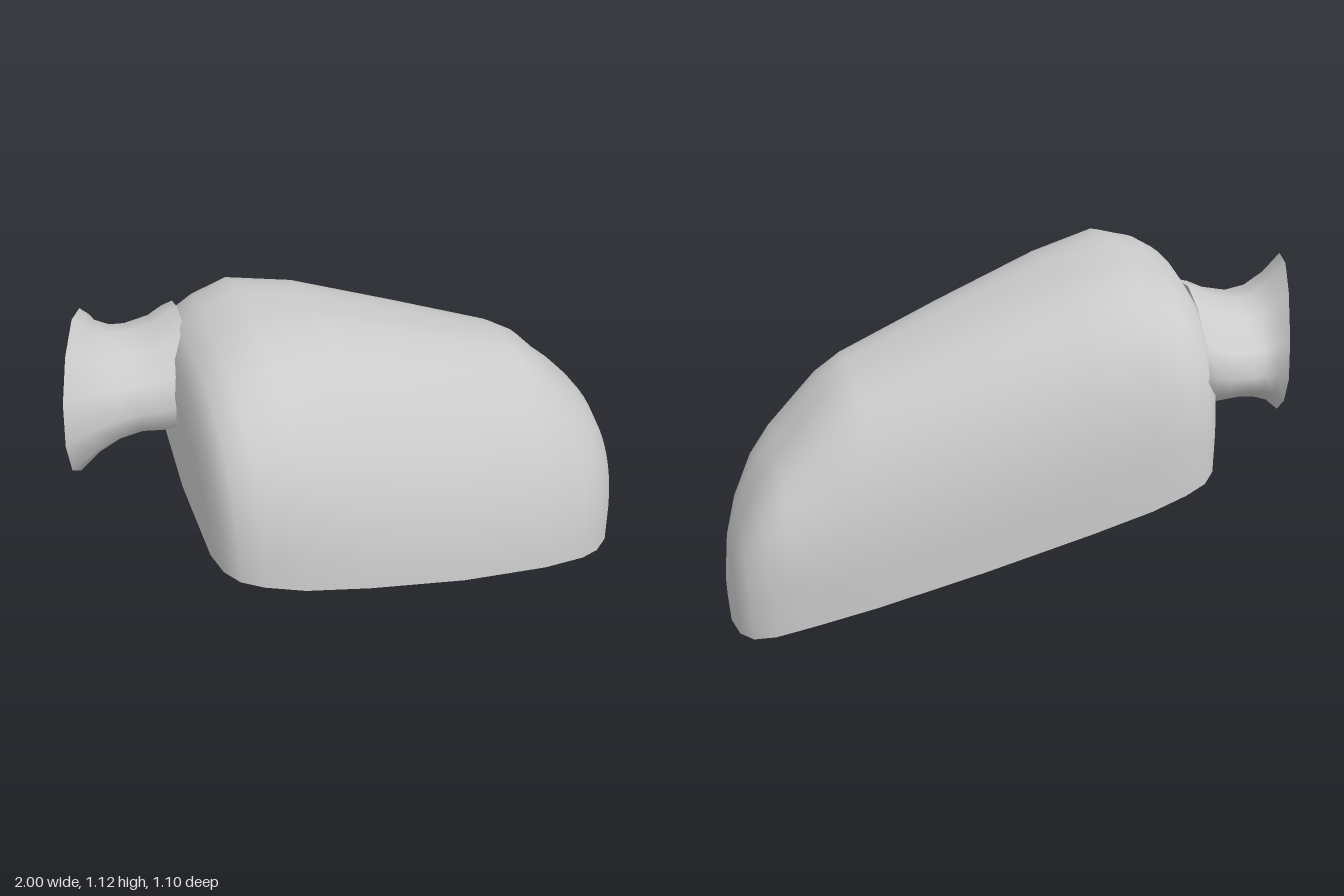
import * as THREE from 'three';

const material = new THREE.MeshStandardMaterial({ color: 0xcccccc, side: THREE.DoubleSide });

// Height of the slanted plane that holds the rim of the opening
const rimY = (x) => 0.31 - 0.307 * x;

// Skin a list of equally long cross-sections into a smooth surface
function loft(sections, closed = false) {
  const n = sections[0].length;
  const index = [];
  for (let i = 0; i < sections.length - 1; i++) {
    for (let j = 0; j < (closed ? n : n - 1); j++) {
      const a = i * n + j, b = a + n;
      const c = i * n + (j + 1) % n, d = c + n;
      index.push(a, b, c, b, d, c);
    }
  }
  const geometry = new THREE.BufferGeometry().setFromPoints(sections.flat());
  geometry.setIndex(index);
  geometry.computeVertexNormals();
  return geometry;
}

function addMesh(group, geometry, name) {
  const mesh = new THREE.Mesh(geometry, material);
  mesh.name = name;
  group.add(mesh);
}

// Arched section of the housing, from the front rim over the top to the back rim
function archSection([x, front, back, top, frontSquareness, backSquareness]) {
  const points = [];
  const segments = 24;
  const mid = (front + back) / 2, half = (front - back) / 2;
  for (let j = 0; j <= segments; j++) {
    const a = (j / segments) * Math.PI;
    const c = Math.cos(a), s = Math.max(0, Math.sin(a));
    const power = 2 / (c > 0 ? frontSquareness : backSquareness);
    const z = mid + half * Math.sign(c) * Math.abs(c) ** power;
    // the inner end wall leans back behind the neck
    const lean = THREE.MathUtils.clamp((-0.2 - x) / 0.3, 0, 1);
    const px = x + 0.065 * Math.max(0, -z) * lean;
    const base = rimY(px);
    points.push(new THREE.Vector3(px, base + (top - base) * s ** power, z));
  }
  return points;
}

// Oval ring of the neck, slanted in plan and a little pointed at the back
function neckRing([x, slant, cz, hz, cy, hy]) {
  const points = [];
  const segments = 12;
  for (let j = 0; j < segments; j++) {
    const a = (j / segments) * Math.PI * 2;
    const c = Math.cos(a), s = Math.sin(a);
    const power = c < 0 ? 1.25 : 1;
    const dz = hz * Math.sign(c) * Math.abs(c) ** power;
    const dy = hy * Math.sign(s) * Math.abs(s) ** power;
    points.push(new THREE.Vector3(x - slant * dz, cy + dy, cz + dz));
  }
  return points;
}

export function createModel() {
  const group = new THREE.Group();
  group.name = 'wingMirror';

  // Housing stations: x, front z, back z, top y, front and back squareness
  const arches = [
    [-0.63, 0.001, -0.001, 0.51, 2.6, 3.1],
    [-0.63, 0.37, -0.42, 0.87, 2.6, 3.1],
    [-0.61, 0.455, -0.475, 0.97, 2.6, 3.1],
    [-0.57, 0.505, -0.52, 1.035, 2.6, 3.1],
    [-0.50, 0.53, -0.54, 1.08, 2.55, 3.1],
    [-0.37, 0.545, -0.55, 1.125, 2.4, 3.1],
    [-0.15, 0.53, -0.54, 1.09, 2.05, 2.9],
    [0.20, 0.485, -0.51, 0.96, 1.95, 2.7],
    [0.54, 0.41, -0.468, 0.83, 1.9, 2.5],
    [0.63, 0.38, -0.452, 0.77, 1.95, 2.6],
    [0.72, 0.35, -0.436, 0.67, 2.05, 2.9],
    [0.80, 0.305, -0.42, 0.59, 2.15, 3.3],
    [0.87, 0.235, -0.405, 0.51, 2.2, 3.5],
    [0.94, 0.12, -0.37, 0.38, 2.4, 3.5],
    [0.98, 0.00, -0.31, 0.27, 2.5, 3.3],
    [1.00, -0.08, -0.22, 0.12, 2.5, 3],
    [1.00, -0.149, -0.151, 0.005, 2.5, 3],
  ].map(archSection);
  addMesh(group, loft(arches), 'housing');

  // Flat panel recessed inside the opening, following the rim
  const panelSections = arches.map((arch) => [arch[0], arch[arch.length - 1]].map((p) => {
    const px = 0.18 + (p.x - 0.18) * 0.985;
    return new THREE.Vector3(px, rimY(px) + 0.115, p.z * 0.98);
  }));
  addMesh(group, loft(panelSections), 'mirrorPanel');

  // Flared neck: x, slant, centre z, half depth, centre y, half height
  const rings = [
    [-0.895, 0.333, -0.215, 0.315, 0.83, 0.255],
    [-0.84, 0.25, -0.225, 0.265, 0.825, 0.208],
    [-0.78, 0.17, -0.235, 0.245, 0.82, 0.178],
    [-0.72, 0.08, -0.24, 0.238, 0.82, 0.17],
    [-0.64, 0.08, -0.235, 0.25, 0.825, 0.182],
    [-0.59, 0.06, -0.235, 0.255, 0.84, 0.195],
    [-0.55, 0.04, -0.235, 0.25, 0.845, 0.205],
  ].map(neckRing);
  addMesh(group, loft(rings, true), 'neck');

  return group;
}
